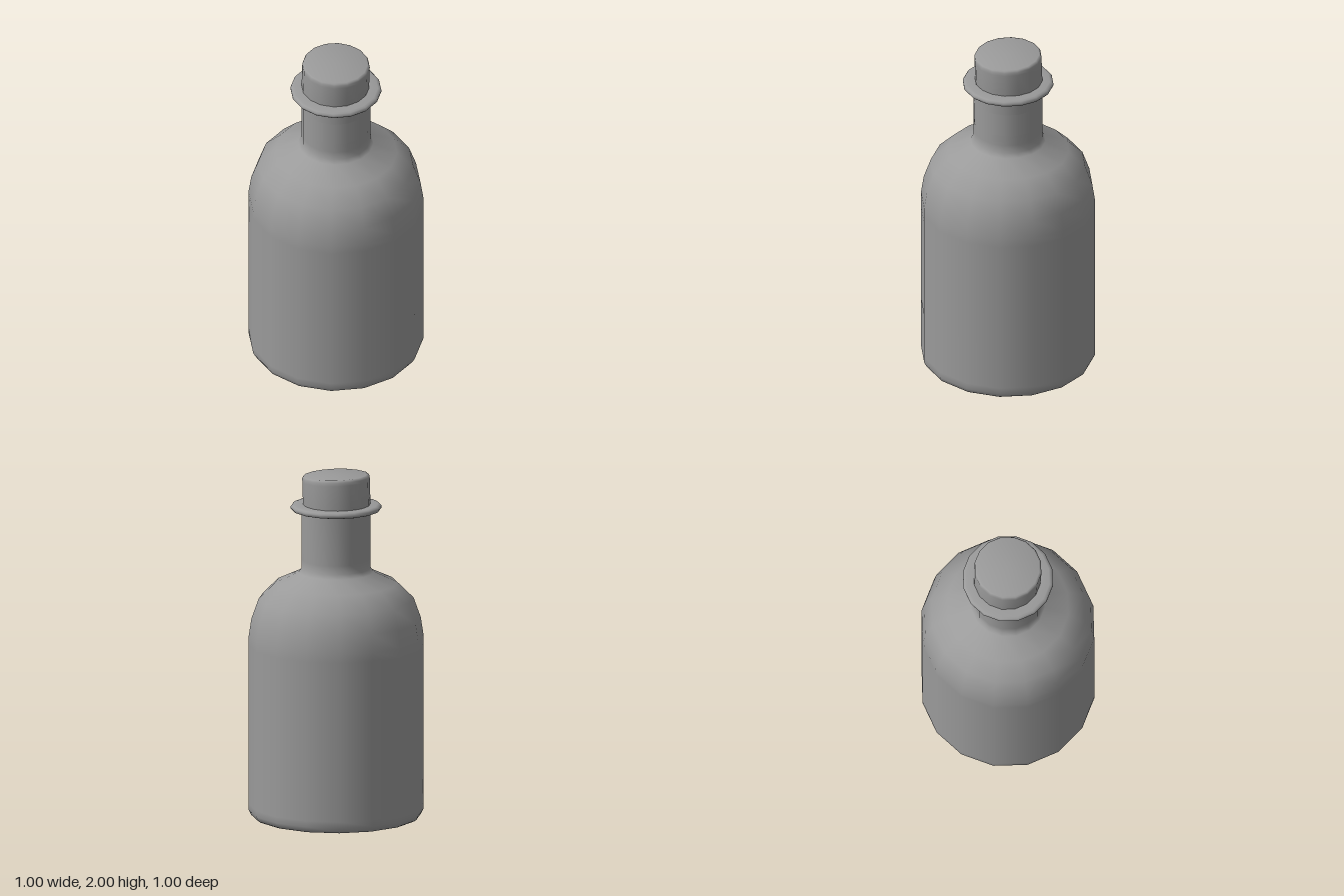
import * as THREE from 'three';
import { toCreasedNormals } from 'three/addons/utils/BufferGeometryUtils.js';

const SIDES = 16;
const dark = new THREE.MeshStandardMaterial({ color: 0x9a9a9a });
const thin = new THREE.MeshStandardMaterial({ color: 0x9a9a9a, side: THREE.DoubleSide });

// Turned part from [radius, height] pairs, listed bottom to top
function turned(name, profile) {
  const points = profile.map(([r, y]) => new THREE.Vector2(r, y));
  const geometry = toCreasedNormals(new THREE.LatheGeometry(points, SIDES), 1.2);
  const mesh = new THREE.Mesh(geometry, dark);
  mesh.name = name;
  return mesh;
}

// Thin sheet wrapped round the front, covering a number of the bottle's sides
function wrapped(name, radius, bottom, top, sides) {
  const arc = (sides / SIDES) * Math.PI * 2;
  const geometry = new THREE.CylinderGeometry(radius, radius, top - bottom, sides, 1, true, -arc / 2, arc);
  geometry.translate(0, (top + bottom) / 2, 0);
  const mesh = new THREE.Mesh(geometry, thin);
  mesh.name = name;
  return mesh;
}

export function createModel() {
  const model = new THREE.Group();
  model.name = 'bottle';

  // Body with hollowed base, rounded shoulder and neck
  model.add(turned('glassBody', [
    [0, 0.03], [0.38, 0.025], [0.455, 0.004], [0.475, 0], [0.487, 0.008], [0.5, 0.035],
    [0.5, 0.07], [0.5, 1.0], [0.5, 1.05], [0.484, 1.155], [0.443, 1.27],
    [0.35, 1.362], [0.215, 1.425], [0.198, 1.45], [0.198, 1.5], [0.198, 1.815], [0, 1.815],
  ]));

  // Rounded lip ring round the neck
  model.add(turned('lipRing', [
    [0.19, 1.786], [0.24, 1.786], [0.253, 1.79], [0.26, 1.799],
    [0.26, 1.809], [0.253, 1.818], [0.24, 1.822], [0.19, 1.822],
  ]));

  // Paper labels on the front, almost flush with the glass
  model.add(wrapped('bodyLabel', 0.501, 0.35, 0.965, 6));
  model.add(wrapped('neckLabel', 0.199, 1.56, 1.7, 8));

  // Cork, pushed in slightly askew
  const cork = turned('cork', [
    [0, -0.08], [0.18, -0.08], [0.193, 0.02], [0.193, 0.16],
    [0.193, 0.178], [0.188, 0.189], [0.18, 0.192], [0, 0.192],
  ]);
  cork.position.set(0, 1.8, -0.006);
  cork.rotation.x = 0.04;
  model.add(cork);

  return model;
}
